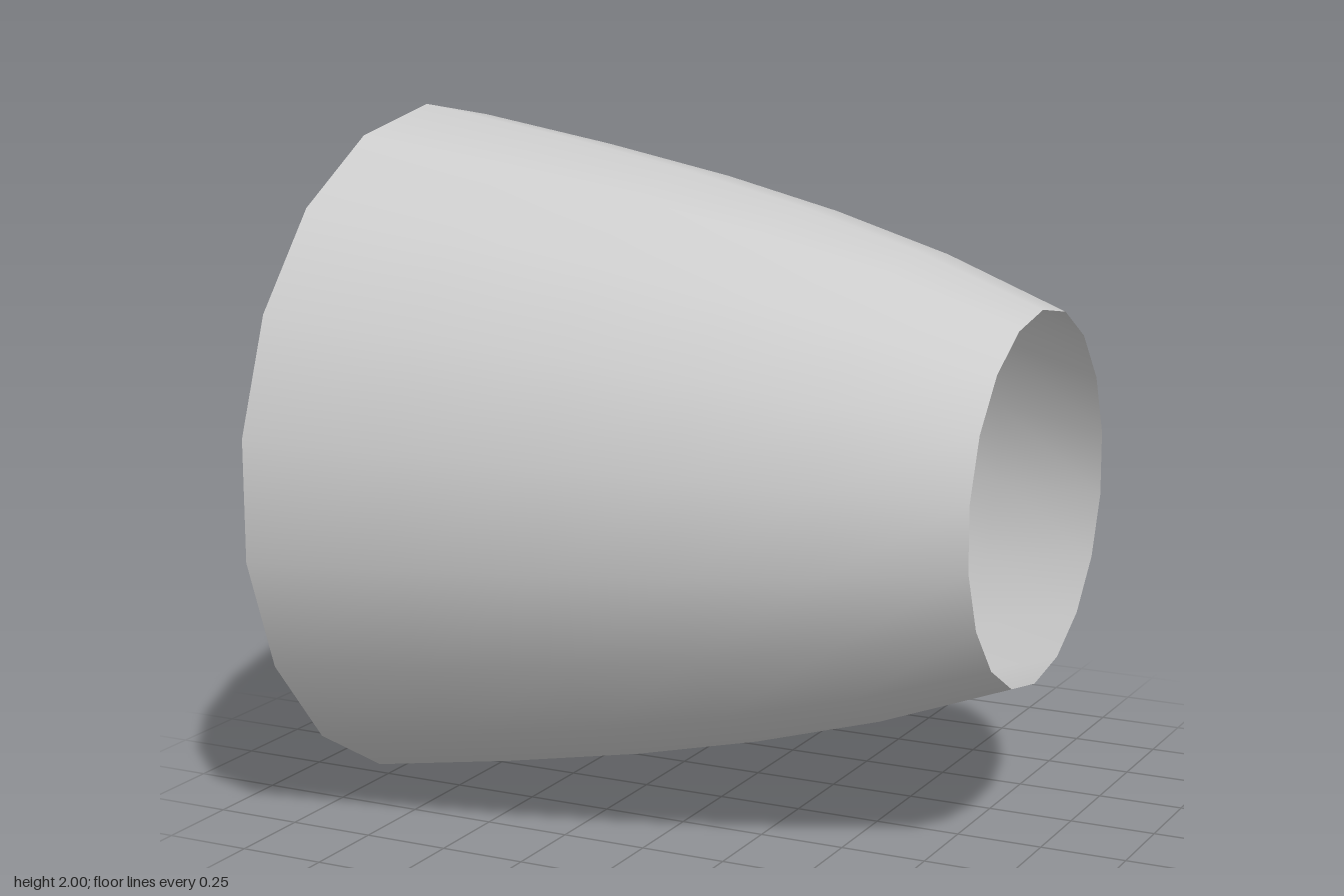
import * as THREE from 'three';

export function createModel() {
  const group = new THREE.Group();
  group.name = 'taperedSleeve';

  // Wall profile: radius and distance along the axis, wide end to narrow end
  const profile = [
    [1, -0.97], [0.929, -0.53], [0.852, -0.12],
    [0.768, 0.24], [0.664, 0.6], [0.526, 0.97],
  ].map(([r, d]) => new THREE.Vector2(r, d));

  // Open 18-sided shell with a corner at the very top and bottom
  const geometry = new THREE.LatheGeometry(profile, 18, Math.PI / 2);
  geometry.rotateZ(-Math.PI / 2); // lay the axis along x, narrow end at +x
  geometry.translate(0, 1, 0);

  const shell = new THREE.Mesh(
    geometry,
    new THREE.MeshStandardMaterial({ color: 0xcccccc, side: THREE.DoubleSide }),
  );
  shell.name = 'shell';
  group.add(shell);
  return group;
}
